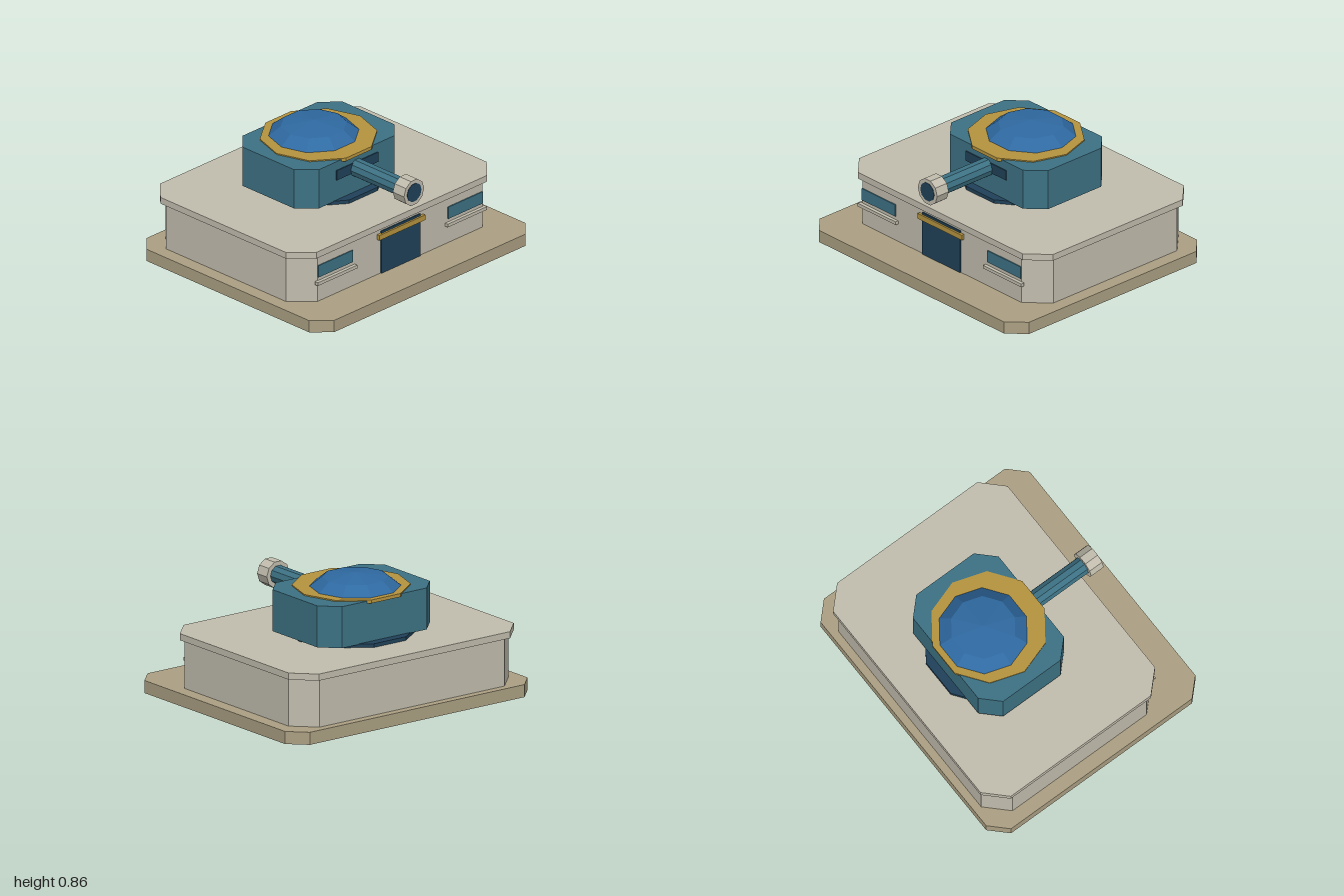
import * as THREE from 'three';

const mat = (name, color) => {
  const m = new THREE.MeshStandardMaterial({ color });
  m.name = name;
  m.flatShading = true;
  return m;
};

export function createModel() {
  const concrete = mat('concrete', 0xc2bdae);
  const sand = mat('sandStone', 0xaca083);
  const teal = mat('tealMetal', 0x3d7284);
  const navy = mat('darkNavy', 0x20425a);
  const gold = mat('gold', 0xb6943f);
  const blue = mat('domeBlue', 0x2f6aa2);

  const model = new THREE.Group();
  model.name = 'turretBunker';

  const add = (name, geometry, material, x = 0, y = 0, z = 0) => {
    const mesh = new THREE.Mesh(geometry, material);
    mesh.name = name;
    mesh.position.set(x, y, z);
    model.add(mesh);
    return mesh;
  };

  // Rectangular slab with cut corners, from height y0 to y1
  const slab = (name, material, w, d, cut, y0, y1, z) => {
    const a = w / 2, b = d / 2;
    const shape = new THREE.Shape([
      [a, -b + cut], [a, b - cut], [a - cut, b], [-a + cut, b],
      [-a, b - cut], [-a, -b + cut], [-a + cut, -b], [a - cut, -b],
    ].map(([x, y]) => new THREE.Vector2(x, y)));
    const g = new THREE.ExtrudeGeometry(shape, { depth: y1 - y0, bevelEnabled: false });
    add(name, g.rotateX(-Math.PI / 2), material, 0, y0, z);
  };

  // Box given by its limits
  const box = (name, material, x0, x1, y0, y1, z0, z1) =>
    add(name, new THREE.BoxGeometry(x1 - x0, y1 - y0, z1 - z0), material,
      (x0 + x1) / 2, (y0 + y1) / 2, (z0 + z1) / 2);

  // Ten-sided cylinder with corners on the x axis
  const decagon = (r, h) => new THREE.CylinderGeometry(r, r, h, 10).rotateY(Math.PI / 2);
  const disc = (name, material, r, y0, y1, z) =>
    add(name, decagon(r, y1 - y0), material, 0, (y0 + y1) / 2, z);
  const tube = (name, material, r, z0, z1) =>
    add(name, decagon(r, z1 - z0).rotateX(Math.PI / 2), material, 0, 0.65, (z0 + z1) / 2);

  // Building
  slab('foundation', sand, 2, 1.71, 0.115, 0, 0.085, 0);
  slab('walls', concrete, 1.814, 1.385, 0.145, 0.085, 0.41, -0.109);
  slab('roof', concrete, 1.856, 1.426, 0.14, 0.41, 0.455, -0.114);

  // Entrance
  box('door', navy, -0.18, 0.18, 0.085, 0.39, 0.583, 0.592);
  box('doorLintel', gold, -0.212, 0.212, 0.338, 0.375, 0.58, 0.605);

  // Windows with sills on both sides of the door
  for (const s of [-1, 1]) {
    box('window', teal, s * 0.6 - 0.16, s * 0.6 + 0.16, 0.26, 0.345, 0.583, 0.591);
    box('windowSill', concrete, s * 0.6 - 0.182, s * 0.6 + 0.182, 0.212, 0.235, 0.58, 0.607);
  }

  // Turret
  disc('turretRing', navy, 0.43, 0.455, 0.48, -0.16);
  slab('turretBody', teal, 0.928, 0.7, 0.115, 0.476, 0.757, -0.16);
  disc('domeCollar', gold, 0.386, 0.742, 0.765, -0.16);
  const dome = add('dome', new THREE.SphereGeometry(0.307, 10, 2, 0, Math.PI * 2, 0, Math.PI / 2),
    blue, 0, 0.758, -0.203);
  dome.scale.y = 0.1 / 0.307;

  // Gun
  box('gunSlot', navy, -0.192, 0.192, 0.625, 0.695, 0.186, 0.197);
  tube('barrel', teal, 0.063, 0.18, 0.62);
  tube('muzzle', concrete, 0.093, 0.61, 0.712);
  tube('muzzleBore', navy, 0.066, 0.708, 0.715);

  return model;
}
